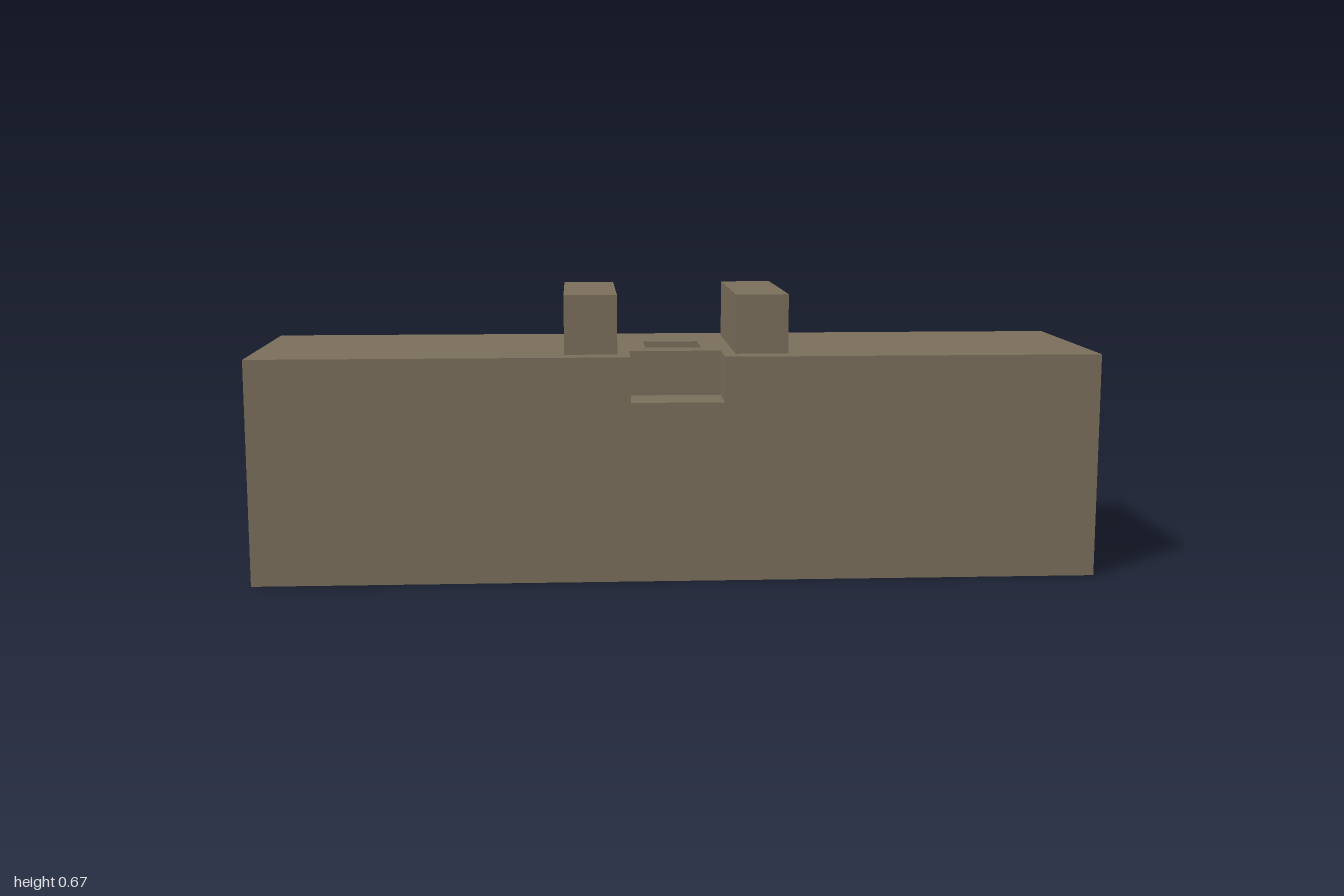
import * as THREE from 'three';
import { mergeGeometries } from 'three/addons/utils/BufferGeometryUtils.js';

// Outline loops are lists of [x, z], running left to right along the front.
const rect = (x, z) => [[-x, z], [x, z], [x, -z], [-x, -z]];

// Vertical walls along a loop, facing out of it (or into it when reversed).
function walls(loop, y0, y1, inward = false) {
  const pts = inward ? [...loop].reverse() : loop;
  const pos = [];
  pts.forEach(([ax, az], i) => {
    const [bx, bz] = pts[(i + 1) % pts.length];
    pos.push(ax, y0, az, bx, y0, bz, bx, y1, bz);
    pos.push(ax, y0, az, bx, y1, bz, ax, y1, az);
  });
  const g = new THREE.BufferGeometry();
  g.setAttribute('position', new THREE.Float32BufferAttribute(pos, 3));
  g.computeVertexNormals();
  return g;
}

// Horizontal face with an optional hole, facing up or down.
function cap(loop, y, up, hole) {
  const s = up ? -1 : 1;
  const points = (l) => l.map(([x, z]) => new THREE.Vector2(x, s * z));
  const shape = new THREE.Shape(points(loop));
  if (hole) shape.holes.push(new THREE.Path(points(hole)));
  const g = new THREE.ShapeGeometry(shape).toNonIndexed();
  g.deleteAttribute('uv');
  return g.rotateX((s * Math.PI) / 2).translate(0, y, 0);
}

export function createModel() {
  const group = new THREE.Group();
  const brown = new THREE.MeshStandardMaterial({ color: 0x7b6f5c });
  brown.name = 'brown';

  const D = 0.266, top = 0.534;           // block half depth and height
  const N = 0.11, NZ = 0.14, NY = 0.427;  // notch half width, back and floor
  const slotTop = 0.267;

  const outline = rect(1, D);
  const notched = [[-1, D], [-N, D], [-N, NZ], [N, NZ], [N, D], [1, D], [1, -D], [-1, -D]];
  const notchFloor = [[-N, D], [N, D], [N, NZ], [-N, NZ]];
  const hole = rect(0.068, 0.068);
  const slot = rect(0.2, 0.068);

  // Block with a front notch and a square hole widening to a slot below
  const block = new THREE.Mesh(mergeGeometries([
    walls(outline, 0, NY),
    walls(notched, NY, top),
    cap(notched, top, true, hole),
    cap(notchFloor, NY, true),
    cap(outline, 0, false, slot),
    walls(slot, 0, slotTop, true),
    cap(slot, slotTop, false, hole),
    walls(hole, slotTop, top, true),
  ]), brown);
  block.name = 'block';
  group.add(block);

  // Pair of rails on top
  for (const [side, name] of [[1, 'leftRail'], [-1, 'rightRail']]) {
    const rail = new THREE.Mesh(new THREE.BoxGeometry(0.125, 0.14, 0.416), brown);
    rail.position.set(side * 0.202, top + 0.07, 0);
    rail.name = name;
    group.add(rail);
  }
  return group;
}
